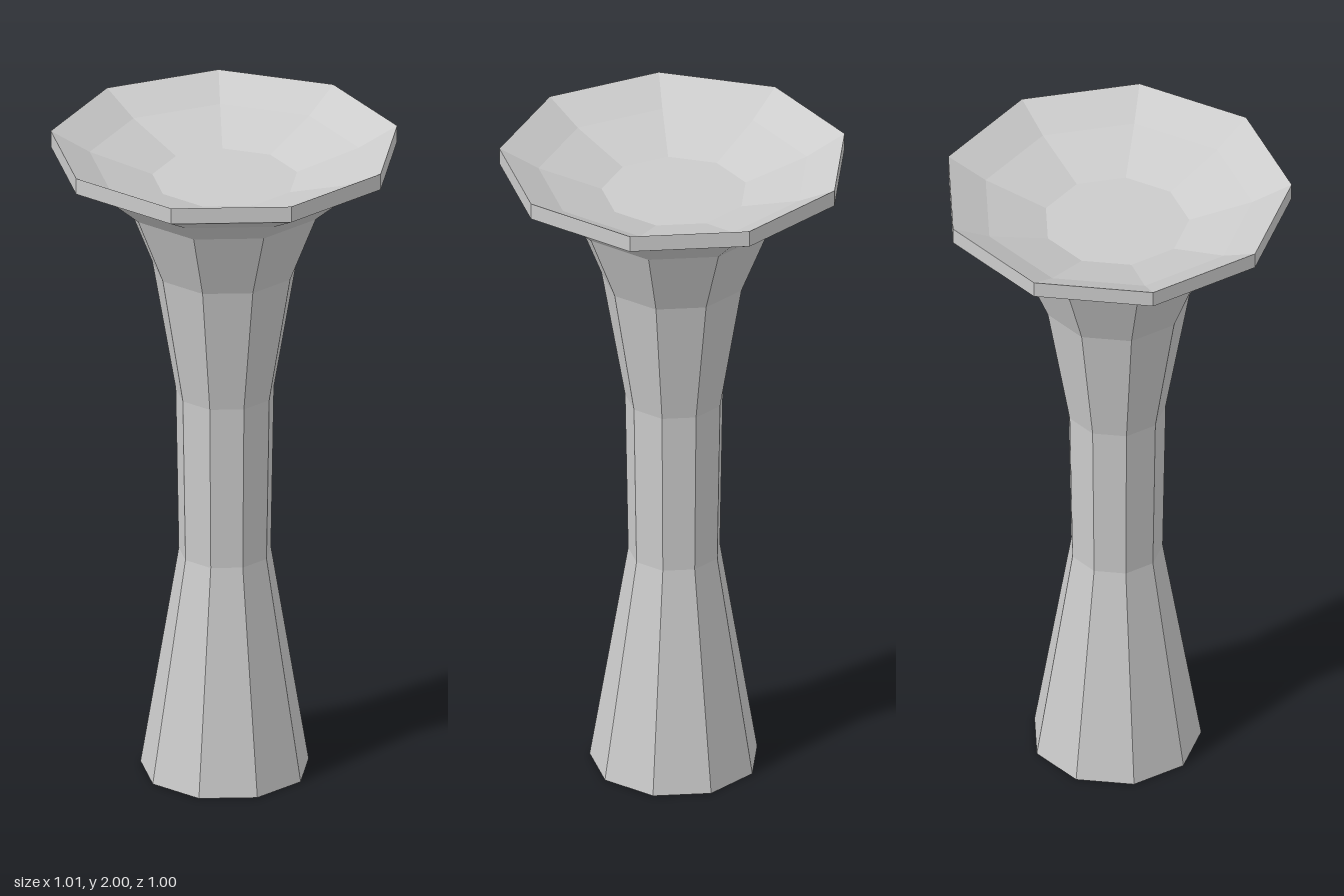
import * as THREE from 'three';

const SIDES = 9;

// Nine-sided turned shape with one corner pointing to the back
function turned(name, profile, material) {
  const points = profile.map(([r, y]) => new THREE.Vector2(r, y));
  const mesh = new THREE.Mesh(new THREE.LatheGeometry(points, SIDES, Math.PI), material);
  mesh.name = name;
  return mesh;
}

export function createModel() {
  const group = new THREE.Group();
  group.name = 'pedestalBowl';
  const grey = new THREE.MeshStandardMaterial({ color: 0xcccccc, flatShading: true });

  // Closed base and flared column up to the underside of the rim
  group.add(turned('pedestal', [
    [0, 0], [0.25, 0], [0.137, 0.69], [0.146, 1.2], [0.215, 1.6],
    [0.3, 1.81], [0.38, 1.88], [0.515, 1.95],
  ], grey));

  // Upright rim band
  group.add(turned('rim', [[0.515, 1.95], [0.515, 2]], grey));

  // Shallow hollow with a flat floor
  group.add(turned('basin', [[0.515, 2], [0.4, 1.94], [0.215, 1.88], [0, 1.88]], grey));

  // An odd number of sides needs a small shift to centre the depth
  group.children.forEach((part) => { part.position.z = 0.015; });
  return group;
}
